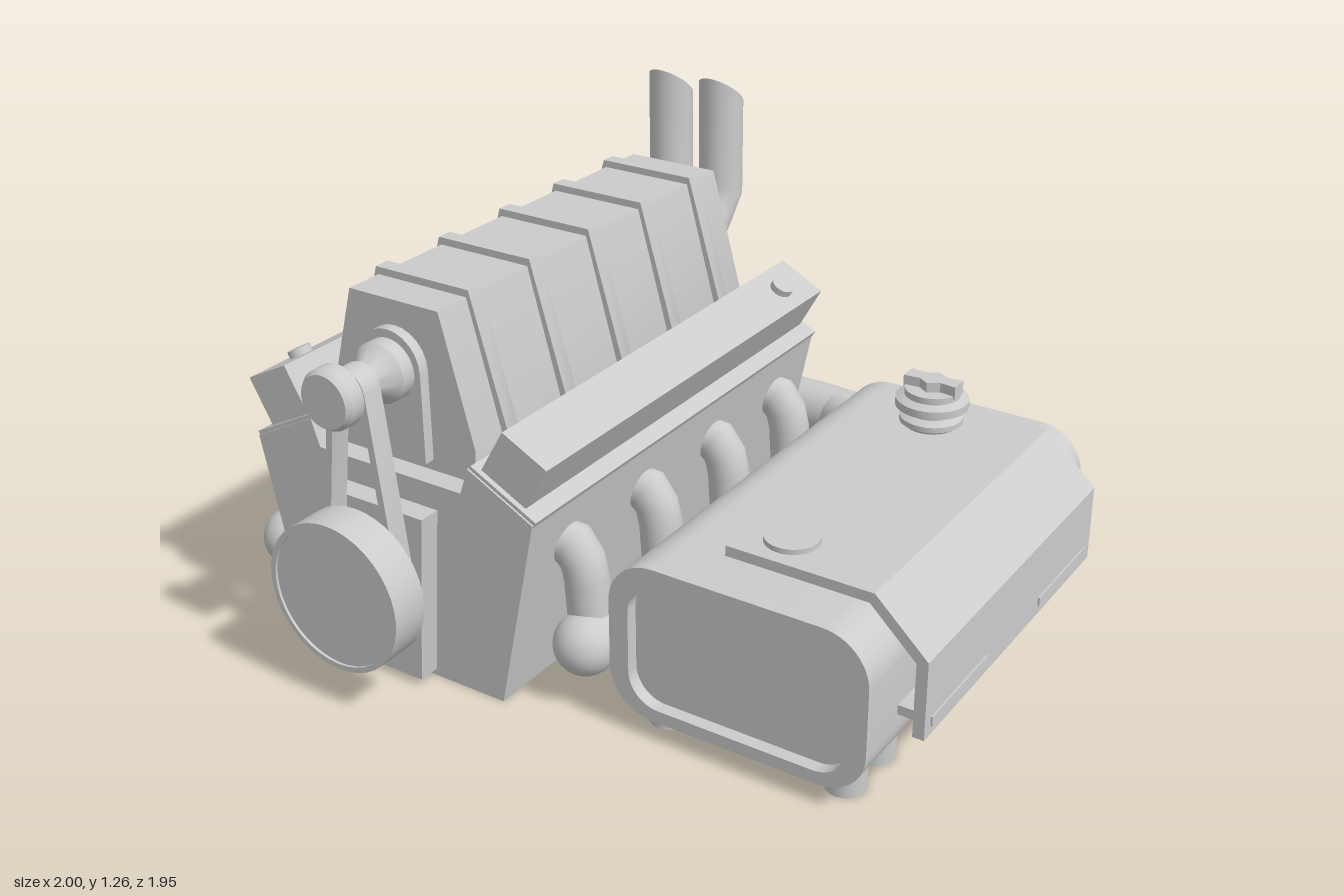
import * as THREE from 'three';
import { toCreasedNormals } from 'three/addons/utils/BufferGeometryUtils.js';

const V = (x, y, z) => new THREE.Vector3(x, y, z);
const grey = new THREE.MeshStandardMaterial({ color: 0xcccccc });
const CX = -0.4175; // centre line of the engine

function add(parent, name, geo, x = 0, y = 0, z = 0) {
  const m = new THREE.Mesh(geo, grey);
  m.name = name;
  m.position.set(x, y, z);
  parent.add(m);
  return m;
}

// Extrude a front outline from z0 to z1
function slab(shape, z0, z1) {
  const g = new THREE.ExtrudeGeometry(shape, { depth: z1 - z0, bevelEnabled: false, curveSegments: 6 });
  return toCreasedNormals(g.translate(0, 0, z0), 0.6);
}
const poly = pts => new THREE.Shape(pts.map(p => new THREE.Vector2(...p)));
// Outline symmetric about x = 0, given by its right half from bottom to top
const symmetric = half => poly([...half, ...half.map(([x, y]) => [-x, y]).reverse()]);

// Round pipe along a path with mitred joints; endNormal makes a slanted cut
function pipe(path, r, endNormal, sides = 24) {
  const dirs = path.slice(1).map((p, i) => p.clone().sub(path[i]).normalize());
  const u = V(0.31, 0.9, 0.17).cross(dirs[0]).normalize();
  const v = dirs[0].clone().cross(u);
  let ring = [];
  for (let j = 0; j < sides; j++) {
    const a = j / sides * Math.PI * 2;
    ring.push(path[0].clone().addScaledVector(u, r * Math.cos(a)).addScaledVector(v, r * Math.sin(a)));
  }
  const pos = [], idx = [];
  const push = pts => pts.forEach(p => pos.push(p.x, p.y, p.z));
  const cap = (pts, c, flip) => {
    const b = pos.length / 3;
    push([c, ...pts]);
    for (let j = 0; j < sides; j++) {
      const p = b + 1 + j, q = b + 1 + (j + 1) % sides;
      idx.push(b, flip ? q : p, flip ? p : q);
    }
  };
  cap(ring, path[0], true);
  const base = pos.length / 3;
  push(ring);
  for (let i = 1; i < path.length; i++) {
    const d = dirs[i - 1];
    const n = i < dirs.length ? d.clone().add(dirs[i]).normalize() : (endNormal || d);
    ring = ring.map(p => p.clone().addScaledVector(d, path[i].clone().sub(p).dot(n) / d.dot(n)));
    push(ring);
    for (let j = 0; j < sides; j++) {
      const a = base + (i - 1) * sides + j, b = base + (i - 1) * sides + (j + 1) % sides;
      idx.push(a, b, a + sides, b, b + sides, a + sides);
    }
  }
  cap(ring, path[path.length - 1], false);
  const g = new THREE.BufferGeometry();
  g.setAttribute('position', new THREE.Float32BufferAttribute(pos, 3));
  g.setIndex(idx);
  g.computeVertexNormals();
  return g;
}

// Turned part from [radius, height] points; the axis is y
const turned = (pts, seg = 32) =>
  toCreasedNormals(new THREE.LatheGeometry(pts.map(p => new THREE.Vector2(...p)), seg), 0.6);

function roundRect(x0, y0, x1, y1, r, Kind = THREE.Shape) {
  const s = new Kind();
  s.absarc(x1 - r, y0 + r, r, -Math.PI / 2, 0);
  s.absarc(x1 - r, y1 - r, r, 0, Math.PI / 2);
  s.absarc(x0 + r, y1 - r, r, Math.PI / 2, Math.PI);
  s.absarc(x0 + r, y0 + r, r, Math.PI, Math.PI * 1.5);
  s.closePath();
  return s;
}

function buildEngine() {
  const e = new THREE.Group();
  e.name = 'engine';
  e.position.x = CX;

  add(e, 'engineBlock', slab(symmetric(
    [[0.333, 0], [0.448, 0.545], [0.255, 0.645], [0.23, 0.57]]), -0.62, 0.74));

  // Supercharger case with raised ribs
  add(e, 'superchargerCase', slab(symmetric(
    [[0.225, 0.54], [0.235, 0.66], [0.14, 1.01]]), -0.56, 0.68));
  for (const z of [0.55, 0.305, 0.05, -0.195, -0.44])
    add(e, 'superchargerRib', slab(symmetric(
      [[0.23, 0.58], [0.252, 0.67], [0.147, 1.03]]), z - 0.022, z + 0.022));

  // Valve covers, leaning outwards
  for (const s of [1, -1]) {
    const pts = [[0.39, 0.53], [0.482, 0.695], [0.352, 0.762], [0.265, 0.61]].map(([x, y]) => [s * x, y]);
    add(e, 'valveCover', slab(poly(pts), -0.605, 0.72));
    const rim = [[0.445, 0.535], [0.455, 0.553], [0.262, 0.653], [0.252, 0.635]].map(([x, y]) => [s * x, y]);
    add(e, 'headFlange', slab(poly(rim), -0.625, 0.735));
    const cap = add(e, 'oilCap', new THREE.CylinderGeometry(0.032, 0.032, 0.03, 20),
      s * 0.42, 0.732, s > 0 ? -0.48 : 0.59);
    cap.rotation.z = -s * 0.477;

    // Exhaust stubs and collecting pipe
    for (const z of [0.56, 0.225, -0.115, -0.45])
      add(e, 'exhaustStub', pipe([V(s * 0.36, 0.41, z), V(s * 0.435, 0.405, z), V(s * 0.462, 0.37, z),
        V(s * 0.474, 0.32, z), V(s * 0.485, 0.16, z)], 0.058));
    add(e, 'exhaustEnd', new THREE.SphereGeometry(0.084, 24, 16), s * 0.4975, 0.16, 0.605);
  }

  // Timing cover, crank pulley and belt
  add(e, 'timingCover', slab(symmetric([[0.115, 0.02], [0.152, 0.5]]), 0.73, 0.8));
  const wheel = turned([[0, 0.79], [0.105, 0.79], [0.105, 0.87], [0.205, 0.87], [0.205, 0.975],
    [0.19, 0.975], [0.19, 0.968], [0, 0.968]], 40);
  add(e, 'crankPulley', wheel, 0, 0.315, 0).rotation.x = Math.PI / 2;
  const loop = (r, R, Kind) => {
    const s = new Kind(), a = Math.asin((R - r) / 0.52);
    s.absarc(0, 0.835, r, a, Math.PI - a);
    s.absarc(0, 0.315, R, Math.PI - a, 2 * Math.PI + a);
    s.closePath();
    return s;
  };
  const belt = loop(0.06, 0.125, THREE.Shape);
  belt.holes.push(loop(0.04, 0.105, THREE.Path));
  add(e, 'driveBelt', slab(belt, 0.81, 0.868));

  // Supercharger nose: mounting plate and turned pulley
  const plate = new THREE.Shape();
  plate.absarc(0, 0.845, 0.098, 0, Math.PI);
  plate.lineTo(-0.098, 0.6);
  plate.lineTo(0.098, 0.6);
  add(e, 'nosePlate', slab(plate, 0.66, 0.71));
  add(e, 'nosePulley', turned([[0, 0.7], [0.08, 0.7], [0.08, 0.75], [0.05, 0.785], [0.042, 0.81],
    [0.042, 0.87], [0.06, 0.88], [0.08, 0.89], [0.08, 0.93], [0.07, 0.945], [0, 0.945]]),
  0, 0.84, 0).rotation.x = Math.PI / 2;

  // Bell housing at the back
  add(e, 'bellHousing', turned([[0, -0.05], [0.253, -0.05], [0.253, 0.135], [0.235, 0.155], [0.18, 0.155],
    [0.18, 0.125], [0.11, 0.125], [0.11, 0.165], [0, 0.165]], 40), 0, 0.305, -0.6).rotation.x = -Math.PI / 2;

  // Twin stacks with slanted mouths
  for (const s of [1, -1])
    add(e, 'exhaustStack', pipe([V(s * 0.087, 0.7, -0.5), V(s * 0.087, 0.85, -0.635), V(s * 0.087, 0.91, -0.685),
      V(s * 0.087, 1.208, -0.685)], 0.065, V(0, 1, -0.8).normalize()));
  return e;
}

function buildTank() {
  const t = new THREE.Group();
  t.name = 'tank';
  add(t, 'tankBody', slab(roundRect(0.2, 0.055, 0.91, 0.485, 0.125), -0.525, 0.635));
  // Raised rims leave both ends recessed
  for (const [a, b] of [[0.635, 0.67], [-0.56, -0.525]]) {
    const rim = roundRect(0.2, 0.055, 0.91, 0.485, 0.125);
    rim.holes.push(roundRect(0.255, 0.09, 0.857, 0.43, 0.085, THREE.Path));
    add(t, 'tankRim', slab(rim, a, b));
  }
  for (const x of [0.31, 0.81])
    for (const z of [0.57, 0.42, -0.29, -0.44])
      add(t, 'foot', new THREE.CylinderGeometry(0.053, 0.053, 0.14, 20), x, 0.07, z);

  // Folded heat shield with brackets
  add(t, 'shield', slab(poly([[0.455, 0.505], [0.84, 0.505], [0.965, 0.385], [0.965, 0.185],
    [0.995, 0.185], [0.995, 0.397], [0.852, 0.533], [0.455, 0.533]]), -0.438, 0.548));
  for (const z of [0.365, -0.25])
    add(t, 'shieldBracket', new THREE.BoxGeometry(0.11, 0.026, 0.305), 0.945, 0.222, z);

  // Filler neck and cap, and a flat plug
  add(t, 'fillerCap', turned([[0, 0.45], [0.07, 0.45], [0.07, 0.535], [0.085, 0.545], [0.085, 0.56], [0.062, 0.57],
    [0.062, 0.58], [0.098, 0.59], [0.098, 0.612], [0.075, 0.622], [0.075, 0.64], [0, 0.64]]), 0.575, 0, -0.3);
  const grip = poly([[-0.075, -0.025], [-0.03, -0.02], [0, -0.04], [0.03, -0.02], [0.075, -0.025],
    [0.075, 0.025], [0.03, 0.02], [0, 0.04], [-0.03, 0.02], [-0.075, 0.025]]);
  add(t, 'capGrip', slab(grip, 0, 0.035), 0.575, 0.632, -0.3).rotation.x = -Math.PI / 2;
  add(t, 'plug', new THREE.CylinderGeometry(0.07, 0.07, 0.1, 28), 0.575, 0.497, 0.44);
  add(t, 'inletFlange', new THREE.CylinderGeometry(0.11, 0.11, 0.08, 28), 0.46, 0.265, -0.545)
    .rotation.x = Math.PI / 2;
  return t;
}

export function createModel() {
  const model = new THREE.Group();
  model.name = 'engineWithTank';
  model.add(buildEngine(), buildTank());

  // Long exhaust: along the right side, around the back and into the tank
  add(model, 'rightExhaust', pipe([V(-0.915, 0.16, 0.605), V(-0.915, 0.16, -0.81), V(-0.895, 0.16, -0.855),
    V(-0.865, 0.16, -0.885), V(-0.81, 0.16, -0.895), V(-0.08, 0.16, -0.895), V(0.34, 0.16, -0.86),
    V(0.41, 0.17, -0.845), V(0.45, 0.195, -0.81), V(0.46, 0.235, -0.765), V(0.46, 0.265, -0.7),
    V(0.46, 0.265, -0.53)], 0.083));
  add(model, 'leftExhaust', pipe([V(0.08, 0.16, 0.605), V(0.08, 0.16, -0.78), V(0.06, 0.16, -0.83),
    V(0.0, 0.16, -0.885)], 0.083));
  return model;
}
